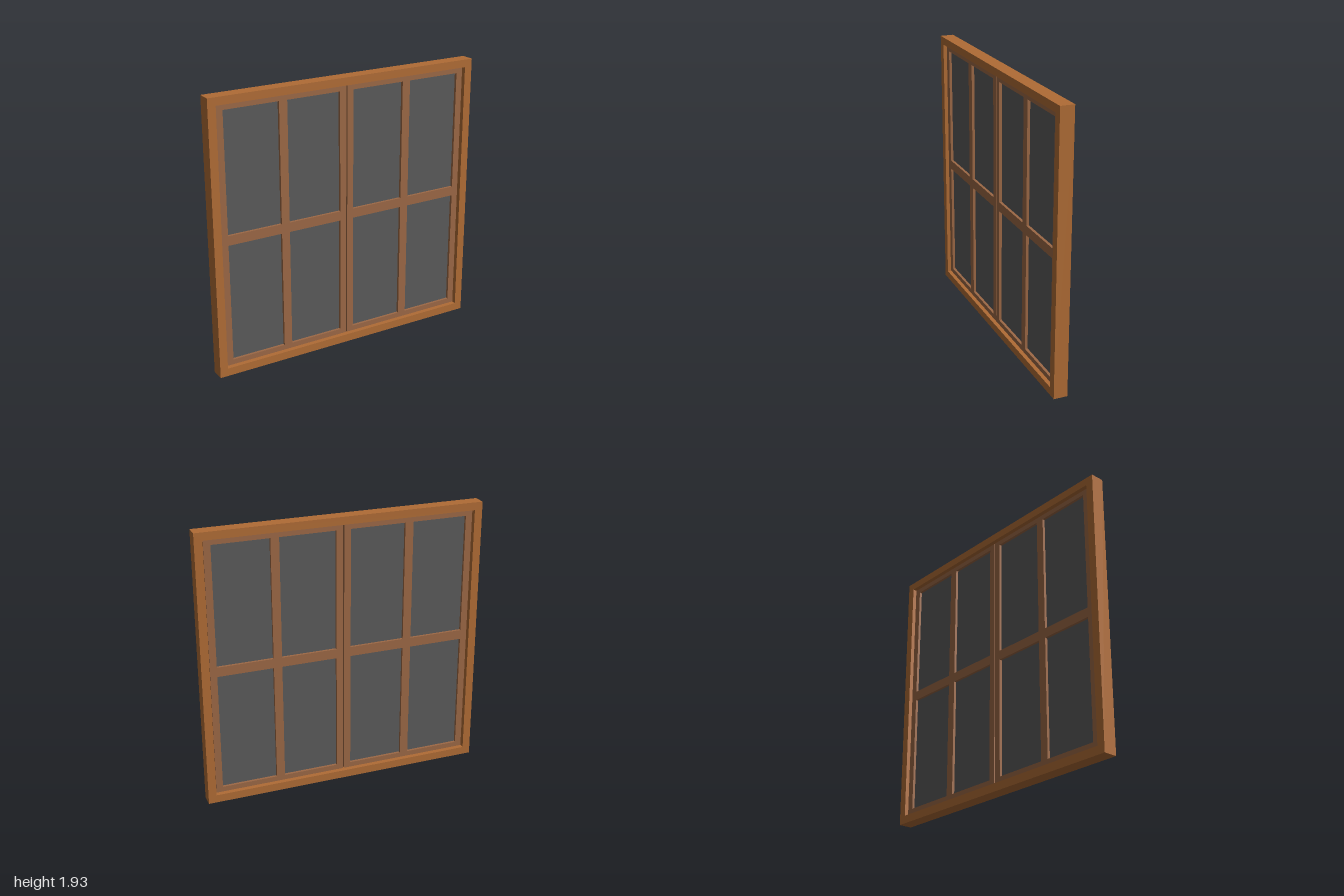
import * as THREE from 'three';

const frameMaterial = new THREE.MeshStandardMaterial({ color: 0xb06c35 });
const sashMaterial = new THREE.MeshStandardMaterial({ color: 0x9c6845 });
const glassMaterial = new THREE.MeshStandardMaterial({ color: 0x5a5a5a });

const HEIGHT = 1.93;
const FRAME_DEPTH = 0.096;
const SASH_DEPTH = 0.05;
const GLASS_DEPTH = 0.012;

// Adds a closed rectangle to a shape or path
function rectangle(path, [x0, x1], [y0, y1]) {
  path.moveTo(x0, y0);
  path.lineTo(x1, y0);
  path.lineTo(x1, y1);
  path.lineTo(x0, y1);
  path.closePath();
  return path;
}

// Flat panel with rectangular openings, centred on z = 0
function panel(name, xs, ys, openings, depth, material) {
  const shape = rectangle(new THREE.Shape(), xs, ys);
  for (const [ox, oy] of openings) shape.holes.push(rectangle(new THREE.Path(), ox, oy));
  const geometry = new THREE.ExtrudeGeometry(shape, { depth, bevelEnabled: false });
  geometry.translate(0, 0, -depth / 2);
  const mesh = new THREE.Mesh(geometry, material);
  mesh.name = name;
  return mesh;
}

export function createModel() {
  const model = new THREE.Group();
  model.name = 'window';

  // Outer frame
  model.add(panel('outerFrame', [-1, 1], [0, HEIGHT],
    [[[-0.944, 0.944], [0.056, 1.876]]], FRAME_DEPTH, frameMaterial));

  // Two sashes, each with four panes, separated from the frame by a thin gap
  const columns = [[0.051, 0.441], [0.5, 0.89]];
  const rows = [[0.099, 0.931], [0.998, 1.836]];
  for (const side of [-1, 1]) {
    const mirror = ([a, b]) => (side > 0 ? [a, b] : [-b, -a]);
    const sash = new THREE.Group();
    sash.name = side > 0 ? 'leftSash' : 'rightSash';

    const openings = columns.flatMap((c) => rows.map((r) => [mirror(c), r]));
    sash.add(panel('sashFrame', mirror([0.004, 0.937]), [0.063, 1.869],
      openings, SASH_DEPTH, sashMaterial));

    // Glass panes
    for (const [[x0, x1], [y0, y1]] of openings) {
      const pane = new THREE.Mesh(
        new THREE.BoxGeometry(x1 - x0, y1 - y0, GLASS_DEPTH), glassMaterial);
      pane.name = 'glassPane';
      pane.position.set((x0 + x1) / 2, (y0 + y1) / 2, 0);
      sash.add(pane);
    }
    model.add(sash);
  }
  return model;
}
